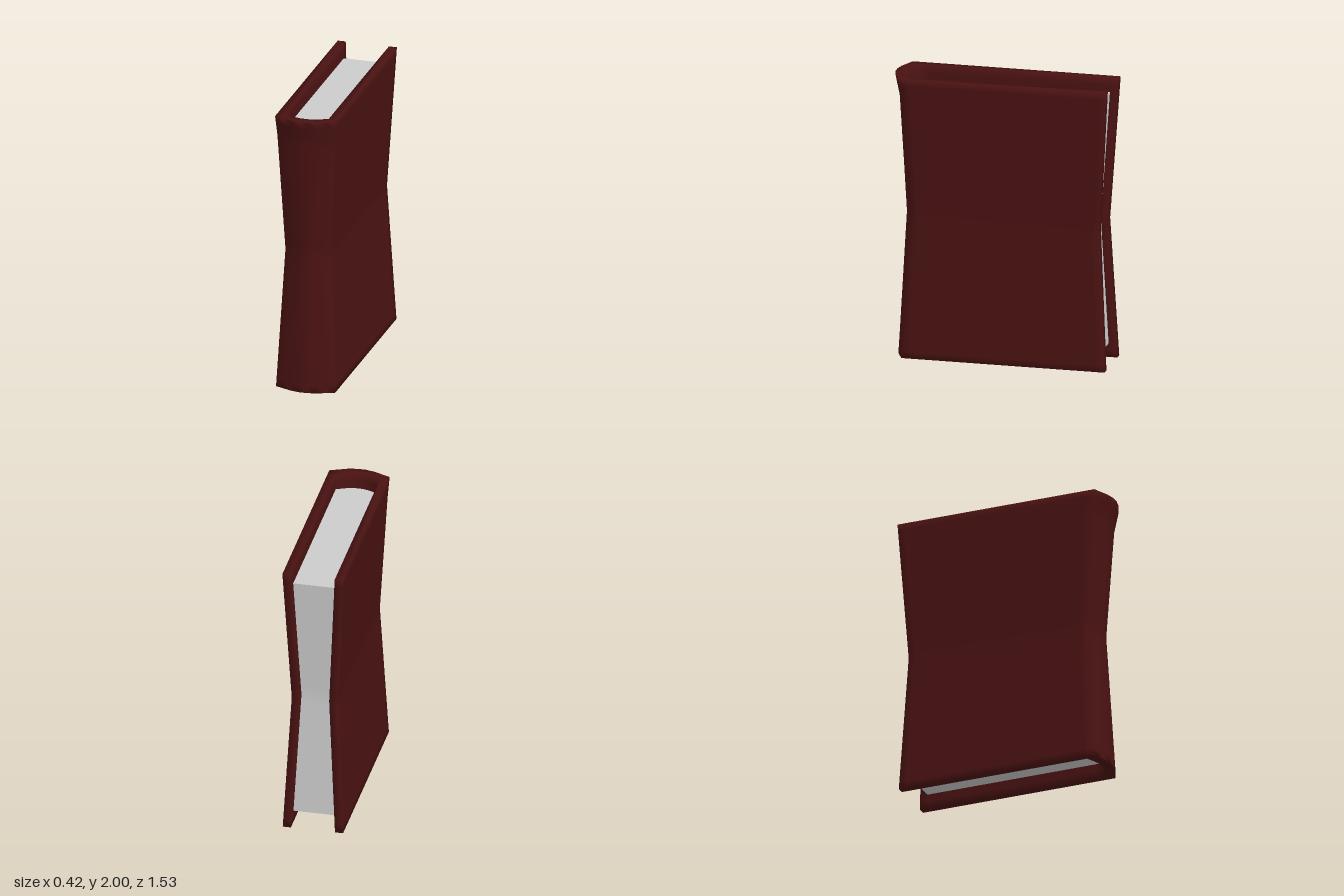
import * as THREE from 'three';
import { mergeVertices, toCreasedNormals } from 'three/addons/utils/BufferGeometryUtils.js';

// Pinches the book at mid height and flares the top of the spine.
function pinch(geometry) {
  const pos = geometry.attributes.position;
  for (let i = 0; i < pos.count; i++) {
    const x = pos.getX(i), y = pos.getY(i), z = pos.getZ(i);
    const p = 1 - Math.abs(y - 1);
    const flare = z > 0.61 ? 0.022 * Math.max(0, (y - 1.85) / 0.15) : 0;
    const lean = z < 0 ? -0.005 * y : 0;
    pos.setXYZ(i,
      x - 0.052 * p * THREE.MathUtils.clamp(x / 0.15, -1, 1),
      y,
      z * (1 - 0.075 * p) + flare + lean);
  }
  return geometry;
}

// Raises a plan outline of [x, z] points between two heights.
function raise(outline, y0, y1, steps) {
  const shape = new THREE.Shape(outline.map(([x, z]) => new THREE.Vector2(x, -z)));
  const geometry = new THREE.ExtrudeGeometry(shape, { depth: y1 - y0, steps, bevelEnabled: false });
  geometry.rotateX(-Math.PI / 2).translate(0, y0, 0);
  geometry.deleteAttribute('uv');
  geometry.deleteAttribute('normal');
  return pinch(geometry);
}

// Completes a right-hand run of points with its mirror image.
const mirrored = (half) => [...half, ...half.map(([x, z]) => [-x, z]).reverse()];

export function createModel() {
  const book = new THREE.Group();
  book.name = 'book';

  // Cover: two boards joined by a rounded spine, with soft edges
  const outer = [[0.212, -0.755], [0.212, -0.7], [0.212, 0.62], [0.212, 0.68], [0.16, 0.702], [0.095, 0.729], [0.03, 0.743]];
  const inner = [[0.03, 0.67], [0.08, 0.658], [0.155, 0.625], [0.155, 0.57], [0.155, -0.7], [0.155, -0.755]];
  const outline = [...mirrored(outer), ...mirrored(inner).map(([x, z]) => [-x, z])];
  // put the inner run in walking order: left board, spine, right board
  const n = outer.length * 2;
  const innerLeft = inner.map(([x, z]) => [-x, z]).reverse();
  const coverOutline = [...outline.slice(0, n), ...innerLeft, ...inner];
  const coverGeometry = mergeVertices(raise(coverOutline, 0, 2, 40), 1e-4);
  coverGeometry.computeVertexNormals();
  const cover = new THREE.Mesh(coverGeometry, new THREE.MeshStandardMaterial({ color: 0x4a1212 }));
  cover.name = 'cover';

  // Page block, set back from the cover's edges
  const pageHalf = [[0.157, -0.7], [0.157, 0.625], [0.08, 0.66], [0.03, 0.672]];
  const pageGeometry = toCreasedNormals(raise(mirrored(pageHalf), 0.1, 1.9, 24), 0.6);
  const pages = new THREE.Mesh(pageGeometry, new THREE.MeshStandardMaterial({ color: 0xcccccc }));
  pages.name = 'pages';

  book.add(cover, pages);
  return book;
}
